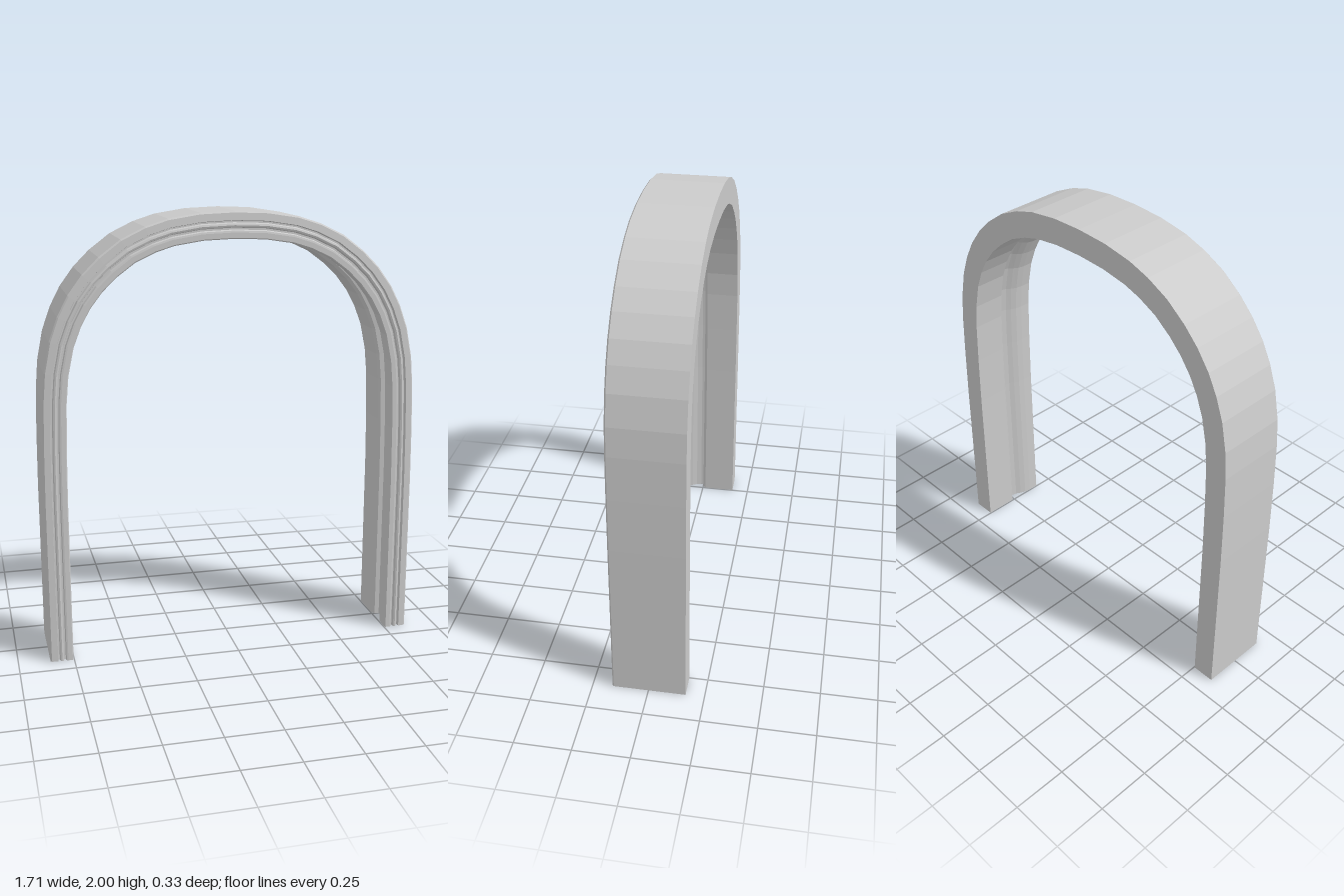
import * as THREE from 'three';

// Outer edge of the arch, from the foot of the left leg to the crown: [x, y]
const HALF_PATH = [
  [0.857, 0], [0.857, 0.75], [0.854, 1.0], [0.848, 1.2], [0.837, 1.33], [0.81, 1.465],
  [0.772, 1.57], [0.725, 1.66], [0.662, 1.745], [0.59, 1.817], [0.495, 1.889],
  [0.39, 1.94], [0.29, 1.972], [0.15, 1.994], [0, 2],
];

// Moulding cross-section: [distance inward from the outer edge, z]
const PROFILE = [
  [0, -0.166], [0, 0.156], [0.006, 0.163], [0.034, 0.166],
  // front grooves and bead
  [0.037, 0.148], [0.043, 0.148], [0.046, 0.164], [0.053, 0.167], [0.06, 0.164],
  [0.063, 0.148], [0.07, 0.148], [0.073, 0.164], [0.08, 0.166], [0.1, 0.166], [0.104, 0.162],
  // inner face: front fillet, cove and step to the flat back band
  [0.104, 0.115], [0.1, 0.085], [0.09, 0.06], [0.078, 0.038], [0.072, 0.015],
  [0.072, 0.002], [0.092, -0.002], [0.104, -0.014], [0.104, -0.166],
];

// Sweeps the closed profile along the path; facets stay flat and the feet stay open
function sweep(path, profile) {
  const last = path.length - 1;
  const rings = path.map(([x, y], i) => {
    const [ax, ay] = path[Math.max(i - 1, 0)];
    const [bx, by] = path[Math.min(i + 1, last)];
    const inward = new THREE.Vector2(ay - by, bx - ax).normalize();
    if (i === 0 || i === last) inward.set(-Math.sign(x), 0); // level feet
    // the moulding is slightly deeper at the crown
    const depth = 1 + 0.14 * Math.abs(inward.y);
    return profile.map(([d, z]) => [x + inward.x * d * depth, y + inward.y * d * depth, z]);
  });
  const positions = [];
  for (let i = 0; i < last; i++) {
    for (let j = 0; j < profile.length; j++) {
      const k = (j + 1) % profile.length;
      const a = rings[i][j], b = rings[i + 1][j], c = rings[i + 1][k], d = rings[i][k];
      positions.push(...a, ...b, ...c, ...a, ...c, ...d);
    }
  }
  const geometry = new THREE.BufferGeometry();
  geometry.setAttribute('position', new THREE.Float32BufferAttribute(positions, 3));
  geometry.computeVertexNormals();
  return geometry;
}

export function createModel() {
  const group = new THREE.Group();
  group.name = 'archedDoorFrame';

  // Mirror the half path to get the full arch
  const mirrored = HALF_PATH.slice(0, -1).reverse().map(([x, y]) => [-x, y]);
  const frame = new THREE.Mesh(
    sweep([...HALF_PATH, ...mirrored], PROFILE),
    new THREE.MeshStandardMaterial({ color: 0xcccccc, flatShading: true, side: THREE.DoubleSide }),
  );
  frame.name = 'archMoulding';
  group.add(frame);
  return group;
}
